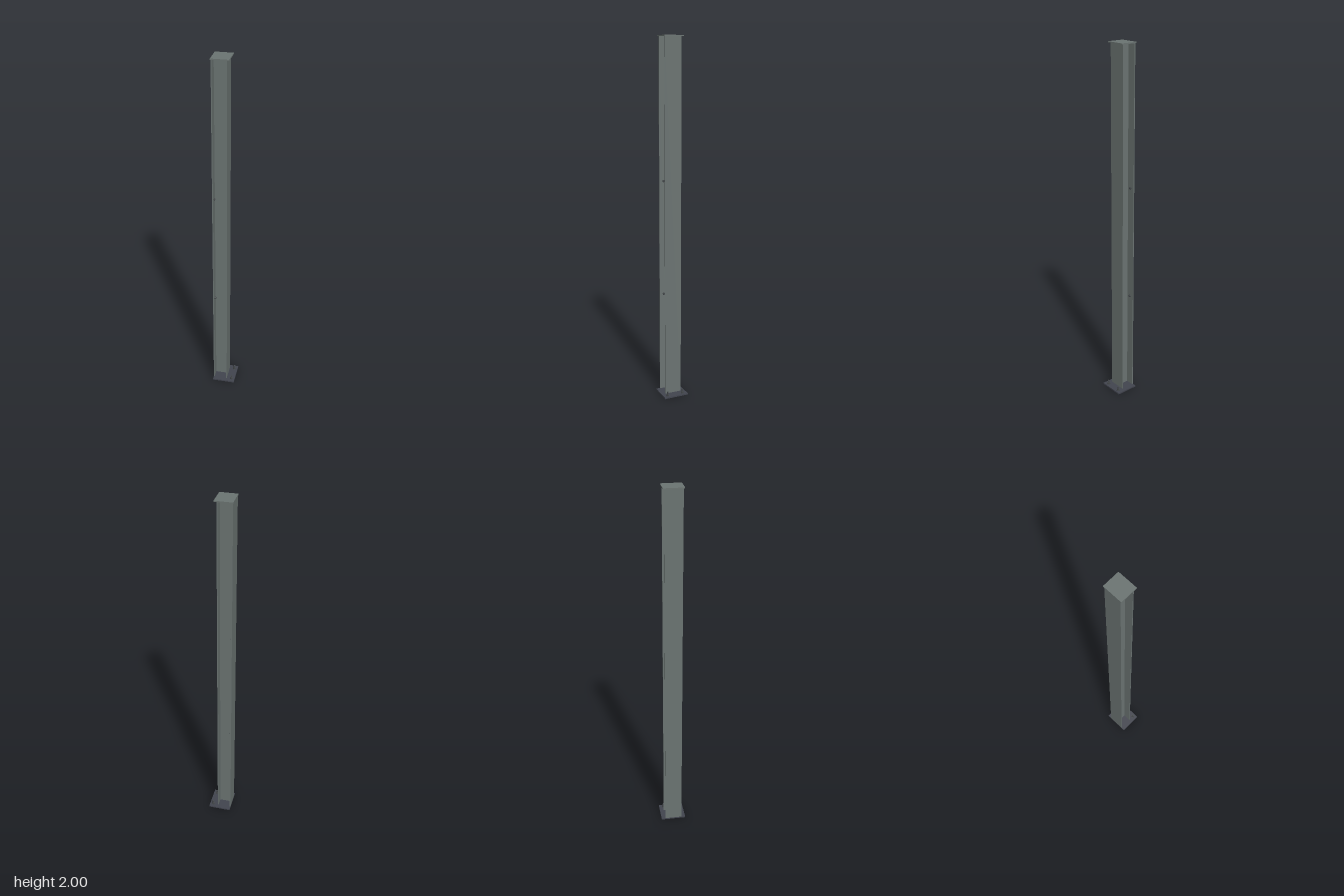
import * as THREE from 'three';

const mat = (name, color) => {
  const m = new THREE.MeshStandardMaterial({ color });
  m.name = name;
  return m;
};

export function createModel() {
  const steel = mat('grey green steel', 0x6b7472);
  const plate = mat('dark base steel', 0x42454f);
  const bolt = mat('bolt steel', 0x45494c);
  const root = new THREE.Group();
  root.name = 'steelPost';

  const add = (parent, name, geo, material, x, y, z) => {
    const m = new THREE.Mesh(geo, material);
    m.name = name;
    m.position.set(x, y, z);
    parent.add(m);
    return m;
  };
  const hex = (r, h) => new THREE.CylinderGeometry(r, r, h, 6).toNonIndexed();
  const disc = (r, h) => new THREE.CylinderGeometry(r, r, h, 20);

  // Base plate and cap plate
  const baseT = 0.008, capT = 0.006;
  add(root, 'basePlate', new THREE.BoxGeometry(0.128, baseT, 0.142), plate, 0.001, baseT / 2, 0);
  add(root, 'capPlate', new THREE.BoxGeometry(0.094, capT, 0.108), steel, -0.018, 2 - capT / 2, 0);

  // I-section post: flanges at both x ends, web between them
  const x0 = -0.063, x1 = 0.017, w = 0.048, f = 0.005, t = 0.002;
  const profile = new THREE.Shape([
    [x0, -w], [x0 + f, -w], [x0 + f, -t], [x1 - f, -t], [x1 - f, -w], [x1, -w],
    [x1, w], [x1 - f, w], [x1 - f, t], [x0 + f, t], [x0 + f, w], [x0, w],
  ].map(([x, y]) => new THREE.Vector2(x, y)));
  const beam = new THREE.ExtrudeGeometry(profile, { depth: 2 - capT - baseT, bevelEnabled: false });
  beam.rotateX(-Math.PI / 2);
  add(root, 'beam', beam, steel, 0, baseT, 0);

  for (const side of [-1, 1]) {
    // Anchor bolts on the exposed strip of the base plate
    const anchor = new THREE.Group();
    anchor.name = 'anchorBolt';
    anchor.position.set(0.046, baseT, side * 0.045);
    add(anchor, 'washer', disc(0.01, 0.002), bolt, 0, 0.001, 0);
    add(anchor, 'nut', hex(0.008, 0.007), bolt, 0, 0.0055, 0);
    add(anchor, 'stud', disc(0.0045, 0.024), bolt, 0, 0.012, 0);
    root.add(anchor);

    // Small bolts on the inner face of the rear flange
    for (const y of [0.585, 1.23]) {
      const fix = new THREE.Group();
      fix.name = 'flangeBolt';
      fix.position.set(x0 + f, y, side * 0.024);
      fix.rotation.z = -Math.PI / 2;
      add(fix, 'boltHead', hex(0.007, 0.005), bolt, 0, 0.0025, 0);
      add(fix, 'boltTip', disc(0.004, 0.008), bolt, 0, 0.004, 0);
      root.add(fix);
    }
  }
  return root;
}
